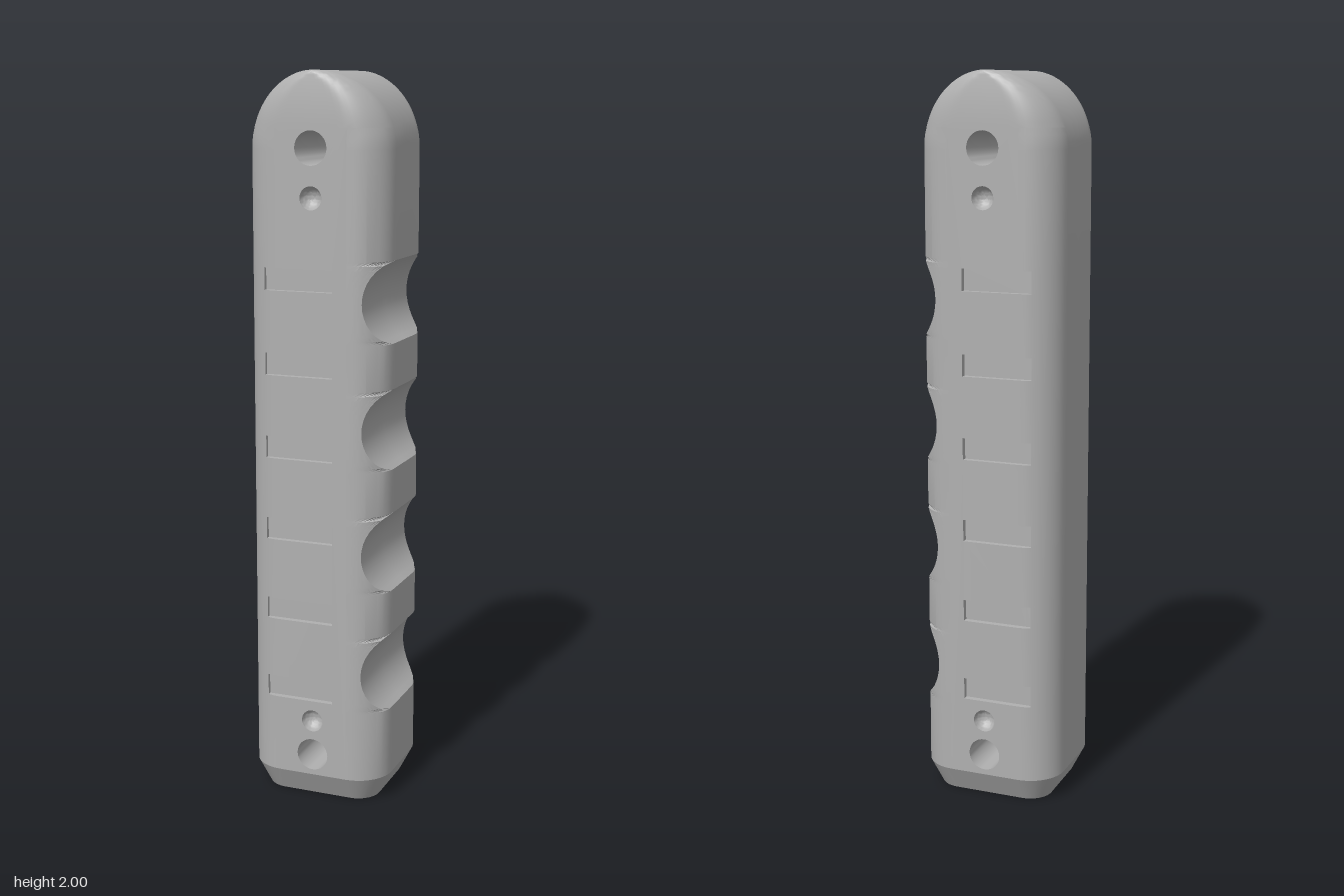
import * as THREE from 'three';
import { mergeGeometries, toCreasedNormals } from 'three/addons/utils/BufferGeometryUtils.js';

const W = 0.2, D = 0.185, R = 0.1;            // half width, half depth, corner radius
const ARCH = 1.8, CAP = 1.855, CHAMFER = 0.07; // heights of arch centre, panel top, foot bevel
const SCALLOPS = [0.375, 0.718, 1.06, 1.403];
const SCALLOP_R = 0.131, SCALLOP_X = 0.271;
const GROOVES = [0, 1, 2, 3, 4, 5].map(i => 0.318 + i * 0.2285);
const GROOVE_H = 0.03, GROOVE_L = -0.135, GROOVE_END = 0.06, GROOVE_Z = 0.168;
const THROUGH = [0.13, 1.803], PITS = [0.23, 1.675];

// Angles around a corner; the third one lands on the groove end
const g = Math.asin(0.35);
const PHI = [0, g / 2, g];
for (let i = 1; i <= 7; i++) PHI.push(g + (Math.PI / 2 - g) * i / 7);

// Half depth at a point: corner rounding that fades out over the arched top
function depth(x, y) {
  const ax = Math.abs(x);
  const rad = y > ARCH ? Math.hypot(ax, y - ARCH) : ax;
  const sx = y > ARCH ? ax / rad * W : W;
  const r = Math.min(R, 0.005 + 0.5 * sx);
  const d = Math.max(0, W - rad);
  const drop = d < r ? r - Math.sqrt(Math.max(0, r * r - (r - d) ** 2)) : 0;
  const t = Math.max(0, (y - CAP) / (2 - CAP));
  return D - drop - 0.01 * t * t;
}

const archWidth = y => y > ARCH ? Math.sqrt(Math.max(0, W * W - (y - ARCH) ** 2)) : W;

// Right outline with finger scallops
function rightWidth(y) {
  for (const c of SCALLOPS) {
    const q = SCALLOP_R ** 2 - (y - c) ** 2;
    if (q > 0) {
      const x = SCALLOP_X - Math.sqrt(q);
      if (x < W) return x;
    }
  }
  return archWidth(y);
}

// Triangulated sheet from rows of points, with optional skipped cells
function sheet(rows, skip = () => false) {
  const p = [];
  for (let i = 0; i < rows.length - 1; i++) {
    for (let j = 0; j < rows[i].length - 1; j++) {
      if (skip(i, j)) continue;
      const a = rows[i][j], b = rows[i][j + 1], c = rows[i + 1][j + 1], d = rows[i + 1][j];
      p.push(...a, ...b, ...c, ...a, ...c, ...d);
    }
  }
  return new THREE.BufferGeometry().setAttribute('position', new THREE.Float32BufferAttribute(p, 3));
}

function bare(geo) {
  const out = geo.index ? geo.toNonIndexed() : geo;
  out.deleteAttribute('normal');
  out.deleteAttribute('uv');
  return out;
}

// Adds the back half, swapping corners so it faces outwards
function bothSides(geo) {
  const back = geo.clone().scale(1, 1, -1), a = back.attributes.position;
  for (let i = 0; i < a.count; i += 3) {
    const b = [a.getX(i + 1), a.getY(i + 1), a.getZ(i + 1)];
    a.setXYZ(i + 1, a.getX(i + 2), a.getY(i + 2), a.getZ(i + 2));
    a.setXYZ(i + 2, ...b);
  }
  return mergeGeometries([geo, back]);
}

// Flat front panel with holes and groove notches
function panel() {
  const s = new THREE.Shape();
  s.moveTo(-R, CHAMFER);
  s.lineTo(R, CHAMFER);
  s.lineTo(R, CAP);
  s.lineTo(-R, CAP);
  for (const y of [...GROOVES].reverse()) {
    s.lineTo(-R, y + GROOVE_H);
    s.lineTo(GROOVE_END, y + GROOVE_H);
    s.lineTo(GROOVE_END, y - GROOVE_H);
    s.lineTo(-R, y - GROOVE_H);
  }
  s.closePath();
  const hole = (y, r) => s.holes.push(new THREE.Path().absarc(0, y, r, 0, Math.PI * 2, true));
  THROUGH.forEach(y => hole(y, 0.045));
  PITS.forEach(y => hole(y, 0.031));
  return bare(new THREE.ShapeGeometry(s, 16)).translate(0, 0, D);
}

// Rounded right edge, running through the scallops
function rightBand() {
  const ys = [CHAMFER];
  const chord = Math.acos((SCALLOP_X - W) / SCALLOP_R);
  for (const c of SCALLOPS)
    for (let i = -7; i <= 7; i++) ys.push(c + SCALLOP_R * Math.sin(chord * i / 7));
  for (let i = 0; i <= 3; i++) ys.push(ARCH + (CAP - ARCH) * i / 3);
  return sheet(ys.map(y => {
    const X = rightWidth(y), end = Math.asin(Math.min(1, (X - R) / R));
    const row = PHI.map(f => {
      const x = R + R * Math.sin(f / (Math.PI / 2) * end);
      return [x, y, depth(x, y)];
    });
    return [...row, [X, y, 0]];
  }));
}

// Rounded left edge, open where the grooves run into it
function leftBand() {
  const ys = [CHAMFER];
  GROOVES.forEach(y => ys.push(y - GROOVE_H, y + GROOVE_H));
  for (let i = 0; i <= 3; i++) ys.push(ARCH + (CAP - ARCH) * i / 3);
  const rows = ys.map(y => {
    const X = archWidth(y);
    const row = PHI.map(f => {
      const x = -R - (X - R) * Math.sin(f);
      return [x, y, depth(x, y)];
    }).reverse();
    return [[-X, y, 0], ...row];
  });
  const n = rows[0].length;
  return sheet(rows, (i, j) => i % 2 === 1 && i < 12 && j >= n - 3);
}

// Arched top
function topCap() {
  const rows = [], t0 = Math.asin((CAP - ARCH) / W);
  for (let i = 0; i <= 18; i++) {
    const t = t0 + (Math.PI / 2 - t0) * i / 18;
    const y = ARCH + W * Math.sin(t), X = W * Math.cos(t), row = [[-X, y, 0]];
    for (let j = -16; j <= 16; j++) {
      const x = X * Math.sin(Math.PI / 2 * j / 16);
      row.push([x, y, depth(x, y)]);
    }
    rows.push([...row, [X, y, 0]]);
  }
  return sheet(rows);
}

// Bevelled foot with its flat underside
function foot() {
  const ring = (y, inset, flat) => {
    const r = R - inset;
    const half = PHI.map(f => [R + r * Math.sin(f), y, flat ? 0 : D - R + r * Math.cos(f)]);
    half.push([R + r, y, 0]);
    return [...half.map(([x, h, z]) => [-x, h, z]).reverse(), ...half];
  };
  return sheet([ring(0, 0.036, true), ring(0, 0.036), ring(CHAMFER, 0)]);
}

// Shallow recess: floor, long walls and end walls
function groove(c) {
  const xs = [GROOVE_L, -R - R * Math.sin(g / 2), -R, GROOVE_END];
  const lo = c - GROOVE_H, hi = c + GROOVE_H;
  const line = (y, deep) => xs.map(x => [x, y, deep ? GROOVE_Z : depth(x, y)]);
  const end = (x, a, b) => sheet([
    [[x, a, depth(x, a)], [x, a, GROOVE_Z]],
    [[x, b, depth(x, b)], [x, b, GROOVE_Z]]]);
  return mergeGeometries([
    sheet([line(lo), line(lo, true), line(hi, true), line(hi)]),
    end(GROOVE_L, lo, hi),
    end(GROOVE_END, hi, lo)]);
}

export function createModel() {
  const group = new THREE.Group();
  const grey = new THREE.MeshStandardMaterial({ color: 0xb0b0b0 });
  grey.name = 'plain grey';
  const add = (name, geo) => {
    const mesh = new THREE.Mesh(toCreasedNormals(geo, 0.4), grey);
    mesh.name = name;
    group.add(mesh);
  };

  add('handleBody', bothSides(mergeGeometries([panel(), rightBand(), leftBand(), topCap(), foot()])));
  GROOVES.forEach((y, i) => add(`gripGroove${i + 1}`, bothSides(groove(y))));

  // Through holes, facing inwards
  THROUGH.forEach((y, i) => add(`throughHole${i + 1}`, bare(
    new THREE.CylinderGeometry(0.045, 0.045, 2 * D, 32, 1, true)
      .rotateX(Math.PI / 2).scale(-1, 1, 1).translate(0, y, 0))));

  // Round blind pits on front and back
  PITS.forEach((y, i) => add(`blindPit${i + 1}`, bothSides(bare(
    new THREE.SphereGeometry(0.031, 32, 8, 0, Math.PI * 2, 0, Math.PI / 2)
      .rotateX(-Math.PI / 2).scale(-1, 1, 1).translate(0, y, D)))));

  return group;
}
